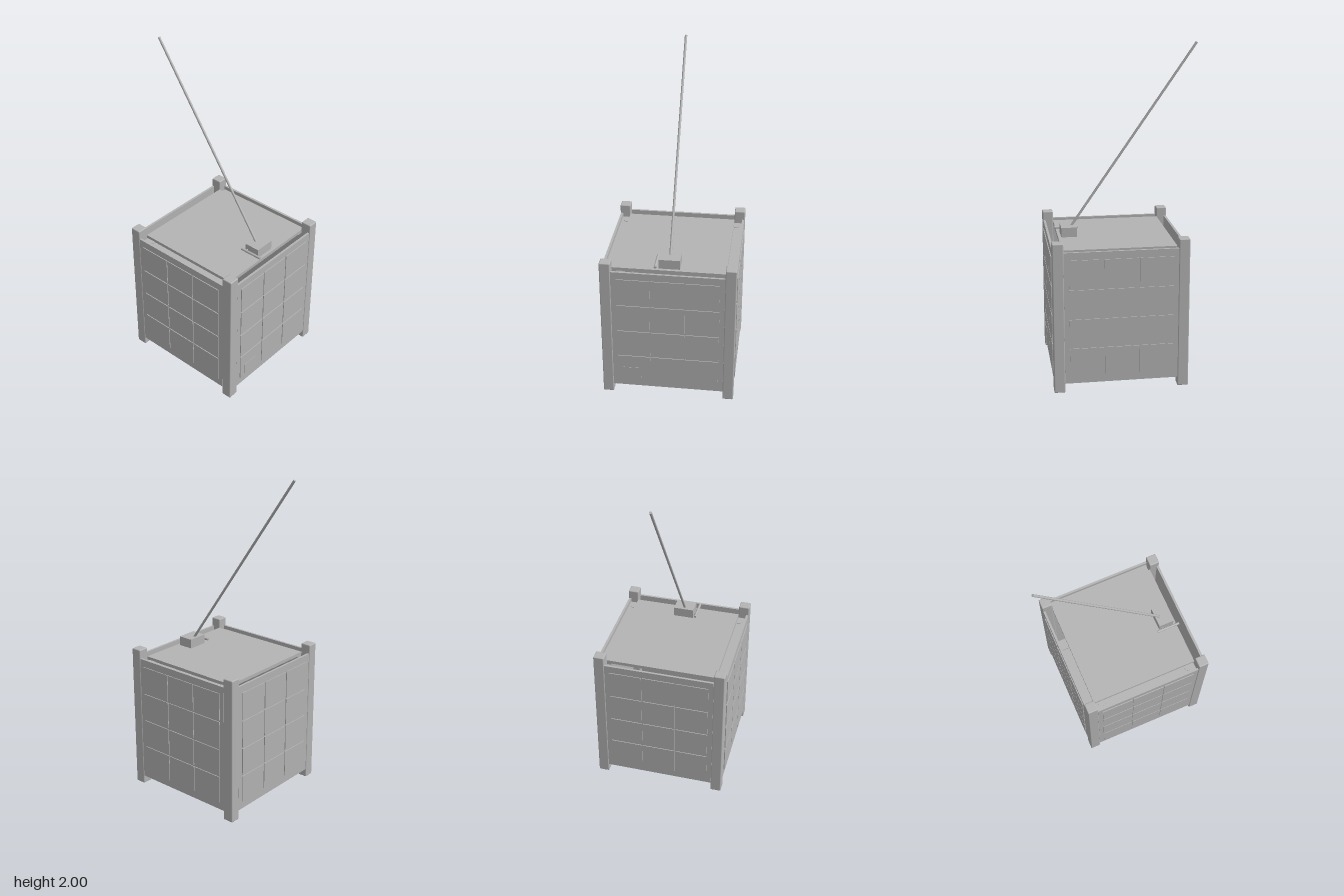
import * as THREE from 'three';
import { RoundedBoxGeometry } from 'three/addons/geometries/RoundedBoxGeometry.js';

const CX = 0.055; // the body sits off centre because the aerial leans to -x

export function createModel() {
  const model = new THREE.Group();
  model.name = 'cubeSatellite';
  const grey = new THREE.MeshStandardMaterial({ color: 0xb3b3b3 });
  grey.name = 'grey';

  const add = (name, geometry, x, y, z, parent = model) => {
    const mesh = new THREE.Mesh(geometry, grey);
    mesh.name = name;
    mesh.position.set(x, y, z);
    parent.add(mesh);
    return mesh;
  };
  // box given by its limits on each axis
  const box = (name, x0, x1, y0, y1, z0, z1, parent) =>
    add(name, new THREE.BoxGeometry(x1 - x0, y1 - y0, z1 - z0),
      (x0 + x1) / 2, (y0 + y1) / 2, (z0 + z1) / 2, parent);
  // rod between two points
  const rod = (name, a, b, r) => {
    const dir = b.clone().sub(a);
    const mid = a.clone().add(b).multiplyScalar(0.5);
    const mesh = add(name, new THREE.CylinderGeometry(r, r, dir.length(), 16), mid.x, mid.y, mid.z);
    mesh.quaternion.setFromUnitVectors(new THREE.Vector3(0, 1, 0), dir.normalize());
    return mesh;
  };

  // four corner rails
  for (const sx of [-1, 1]) for (const sz of [-1, 1]) {
    add('cornerRail', new RoundedBoxGeometry(0.065, 0.91, 0.065, 2, 0.006),
      CX + sx * 0.3675, 0.455, sz * 0.3675);
  }

  // side panels, each with a 3 x 4 grid of thin solar cells
  for (let side = 0; side < 4; side++) {
    const panel = new THREE.Group();
    panel.name = 'sidePanel';
    panel.position.x = CX;
    panel.rotation.y = side * Math.PI / 2;
    model.add(panel);
    box('panelSheet', -0.335, 0.335, 0.055, 0.855, 0.383, 0.397, panel);
    for (let col = -1; col <= 1; col++) for (let row = 0; row < 4; row++) {
      const x = col * 0.2055, y = 0.188 + row * 0.179;
      box('solarCell', x - 0.0995, x + 0.0995, y - 0.0845, y + 0.0845, 0.397, 0.402, panel);
    }
    // front and back sheets carry inward flanges with fasteners
    if (side % 2 === 0) for (const [y, out] of [[0.825, 1], [0.08, -1]]) {
      box('panelFlange', -0.33, 0.33, y - 0.006, y + 0.006, 0.31, 0.384, panel);
      for (const sx of [-1, 1]) {
        add('fastener', new THREE.CylinderGeometry(0.024, 0.024, 0.004, 24),
          sx * 0.2875, y + out * 0.007, 0.346, panel);
      }
    }
  }

  // top and bottom decks
  box('topDeck', CX - 0.336, CX + 0.336, 0.832, 0.852, -0.335, 0.335);
  box('bottomDeck', CX - 0.336, CX + 0.336, 0.057, 0.075, -0.335, 0.335);
  box('bottomPad', CX - 0.2, CX + 0.2, 0.037, 0.058, -0.2, 0.2);

  // service port on the left panel
  box('servicePort', 0.45, 0.459, 0.12, 0.19, 0.16, 0.27);

  // aerial, its mount and the small hinge bar
  const v = (x, y, z) => new THREE.Vector3(x, y, z);
  box('aerialMount', 0.277, 0.372, 0.852, 0.91, -0.064, 0.061);
  rod('aerial', v(0.31, 0.9, 0), v(-0.45, 1.996, 0), 0.0075);
  rod('hingeBar', v(0.26, 0.876, 0.078), v(0.403, 0.876, 0.078), 0.008);
  rod('hingePin', v(0.292, 0.876, 0.055), v(0.292, 0.876, 0.076), 0.004);

  return model;
}
